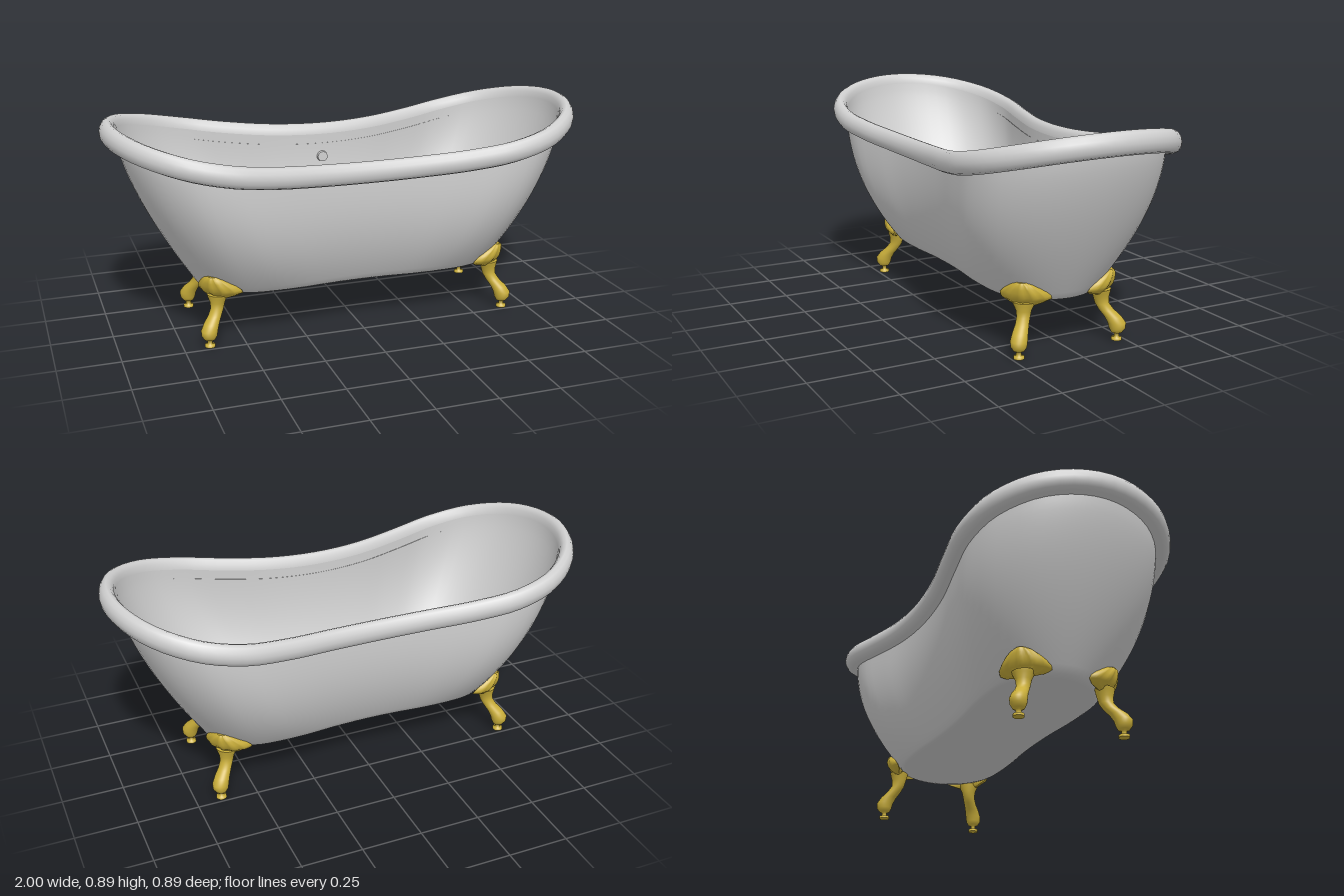
import * as THREE from 'three';

const enamel = new THREE.MeshStandardMaterial({ color: 0xd0d0d0, side: THREE.DoubleSide });
enamel.name = 'white enamel';
const gold = new THREE.MeshStandardMaterial({ color: 0xc9ae3a });
gold.name = 'gold';

// Skin a stack of closed rings; flip turns the faces inward, caps close the ends with sharp edges
function loft(rings, { flip = false, capStart = false, capEnd = false } = {}) {
  const n = rings[0].length;
  const pos = rings.flat().flatMap((p) => [p.x, p.y, p.z]);
  const index = [];
  const tri = (a, b, c, f) => (f ? index.push(a, c, b) : index.push(a, b, c));
  for (let j = 0; j < rings.length - 1; j++) {
    for (let i = 0; i < n; i++) {
      const a = j * n + i, b = j * n + (i + 1) % n;
      tri(a, a + n, b, flip);
      tri(b, a + n, b + n, flip);
    }
  }
  const cap = (ring, f) => {
    const base = pos.length / 3;
    const c = new THREE.Vector3();
    ring.forEach((p) => { c.add(p); pos.push(p.x, p.y, p.z); });
    c.divideScalar(n);
    pos.push(c.x, c.y, c.z);
    for (let i = 0; i < n; i++) tri(base + i, base + (i + 1) % n, base + n, f);
  };
  if (capStart) cap(rings[0], flip);
  if (capEnd) cap(rings[rings.length - 1], !flip);
  const g = new THREE.BufferGeometry();
  g.setAttribute('position', new THREE.Float32BufferAttribute(pos, 3));
  g.setIndex(index);
  g.computeVertexNormals();
  return g;
}

// Waisted plan outline, mirrored from one quarter
const quarter = [[1, 0], [0.97, 0.167], [0.89, 0.305], [0.75, 0.41], [0.58, 0.444], [0.4, 0.422], [0.2, 0.388], [0, 0.376]];
const half = [...quarter, ...quarter.slice(0, -1).reverse().map(([x, z]) => [-x, z])];
const plan = [...half, ...half.slice(1, -1).reverse().map(([x, z]) => [x, -z])];
const curve = new THREE.CatmullRomCurve3(plan.map(([x, z]) => new THREE.Vector3(x, 0, z)), true);
const N = 96;
const outline = Array.from({ length: N }, (_, i) => {
  const p = curve.getPointAt(i / N), t = curve.getTangentAt(i / N);
  return { x: p.x, z: p.z, nx: t.z, nz: -t.x, rimY: 0.7 + 0.148 * p.x * p.x };
});

// One ring of the outline moved inward by d and raised by h from the rim centre line
const rimRing = (d, h) => outline.map((o) => new THREE.Vector3(o.x - o.nx * d, o.rimY + h, o.z - o.nz * d));

// Bowl: a flat floor with a rounded edge, then a wall that flares up to the rim
function bowl({ inset, floorY, topH, endScale, endPower, flip }) {
  const top = rimRing(inset, topH);
  const floor = top.map((p) => {
    const waist = 1 + 0.13 * Math.max(0, 1 - (p.x / 0.55) ** 2);
    return new THREE.Vector3(p.x * 0.69, floorY, p.z * 0.57 * waist);
  });
  const rings = [[0.5, 0], [0.86, 0], [0.95, 0.003]].map(([s, lift]) =>
    floor.map((p) => new THREE.Vector3(p.x * s, floorY + lift, p.z * s)));
  for (let j = 0; j <= 20; j++) {
    const u = j / 20, fx = 1 - (1 - u) ** endPower, fz = 1 - (1 - u) ** 2.35;
    rings.push(top.map((p, i) => new THREE.Vector3(
      THREE.MathUtils.lerp(floor[i].x, p.x * endScale, fx),
      THREE.MathUtils.lerp(floorY + 0.01, p.y, u),
      THREE.MathUtils.lerp(floor[i].z, p.z, fz))));
  }
  return loft(rings, { flip, capStart: true });
}

// Leg sections from the foot up: height, half width, half depth, outward shift
const legSections = [
  [0, 0.021, 0.021, 0.075], [0.01, 0.021, 0.021, 0.075], [0.011, 0.01, 0.01, 0.075],
  [0.028, 0.01, 0.01, 0.075], [0.032, 0.022, 0.022, 0.075], [0.048, 0.031, 0.032, 0.077],
  [0.07, 0.033, 0.036, 0.075], [0.095, 0.03, 0.034, 0.058], [0.12, 0.026, 0.03, 0.032],
  [0.145, 0.026, 0.028, 0.014], [0.17, 0.03, 0.031, 0.01], [0.192, 0.04, 0.036, 0.01],
  [0.204, 0.044, 0.038, 0.01],
];
const bracketSections = [
  [0.188, 0.035, 0.032, 0], [0.2, 0.075, 0.04, -0.012], [0.214, 0.1, 0.05, -0.007],
  [0.228, 0.1, 0.051, 0.002], [0.245, 0.086, 0.047, 0.012], [0.262, 0.065, 0.04, 0.022],
  [0.277, 0.044, 0.031, 0.031], [0.287, 0.02, 0.018, 0.037],
];
// Elliptical sections; back scales the half that faces the tub, bend wraps the sides around it
function ellipseLoft(sections, { flutes, back, bend }) {
  const M = 48;
  return loft(sections.map(([y, w, d, out]) => Array.from({ length: M }, (_, i) => {
    const a = (i / M) * Math.PI * 2, x = w * Math.cos(a), s = Math.sin(a);
    const r = d * (1 + flutes * Math.cos(12 * a)) * (s < 0 ? back : 1);
    return new THREE.Vector3(x, y, out + r * s - bend * x * x);
  })), { capStart: true, capEnd: true });
}

export function createModel() {
  const model = new THREE.Group();
  model.name = 'bathtub';
  const add = (parent, name, geometry, material, x = 0, y = 0, z = 0) => {
    const m = new THREE.Mesh(geometry, material);
    m.name = name;
    m.position.set(x, y, z);
    parent.add(m);
    return m;
  };

  // Tub shell
  add(model, 'outerShell', bowl({
    inset: 0.056, floorY: 0.196, topH: -0.038, endScale: 0.992, endPower: 1.4, flip: false }), enamel);
  add(model, 'innerShell', bowl({
    inset: 0.062, floorY: 0.214, topH: 0, endScale: 1, endPower: 1.3, flip: true }), enamel);

  // Rolled rim
  const lip = [[0.062, 0], [0.058, 0.024], [0.046, 0.04], [0.031, 0.045], [0.015, 0.037],
    [0.004, 0.02], [0, 0], [0.003, -0.02], [0.013, -0.036], [0.03, -0.044], [0.064, -0.041]];
  add(model, 'rolledRim', loft(lip.map(([d, h]) => rimRing(d, h)), { flip: true }), enamel);

  // Drain and overflow
  add(model, 'drainRing', new THREE.TorusGeometry(0.037, 0.004, 8, 32), enamel, 0, 0.215, -0.118).rotation.x = Math.PI / 2;
  add(model, 'drainPlug', new THREE.CylinderGeometry(0.026, 0.028, 0.006, 32), enamel, 0, 0.216, -0.118);
  add(model, 'overflow', new THREE.CylinderGeometry(0.022, 0.024, 0.012, 24), enamel, 0, 0.6, -0.304).rotation.x = Math.PI / 2;

  // Four claw legs set diagonally under the corners
  const legGeometry = ellipseLoft(legSections, { flutes: 0, back: 1, bend: 0 });
  const bracketGeometry = ellipseLoft(bracketSections, { flutes: 0.07, back: 0.08, bend: 1.8 });
  for (const sx of [1, -1]) {
    for (const sz of [1, -1]) {
      const leg = new THREE.Group();
      leg.name = (sz > 0 ? 'front' : 'back') + (sx > 0 ? 'Left' : 'Right') + 'Leg';
      add(leg, 'clawFoot', legGeometry, gold);
      add(leg, 'legBracket', bracketGeometry, gold);
      leg.position.set(sx * 0.592, 0, sz * 0.167);
      leg.rotation.y = Math.atan2(sx, sz);
      model.add(leg);
    }
  }
  return model;
}
